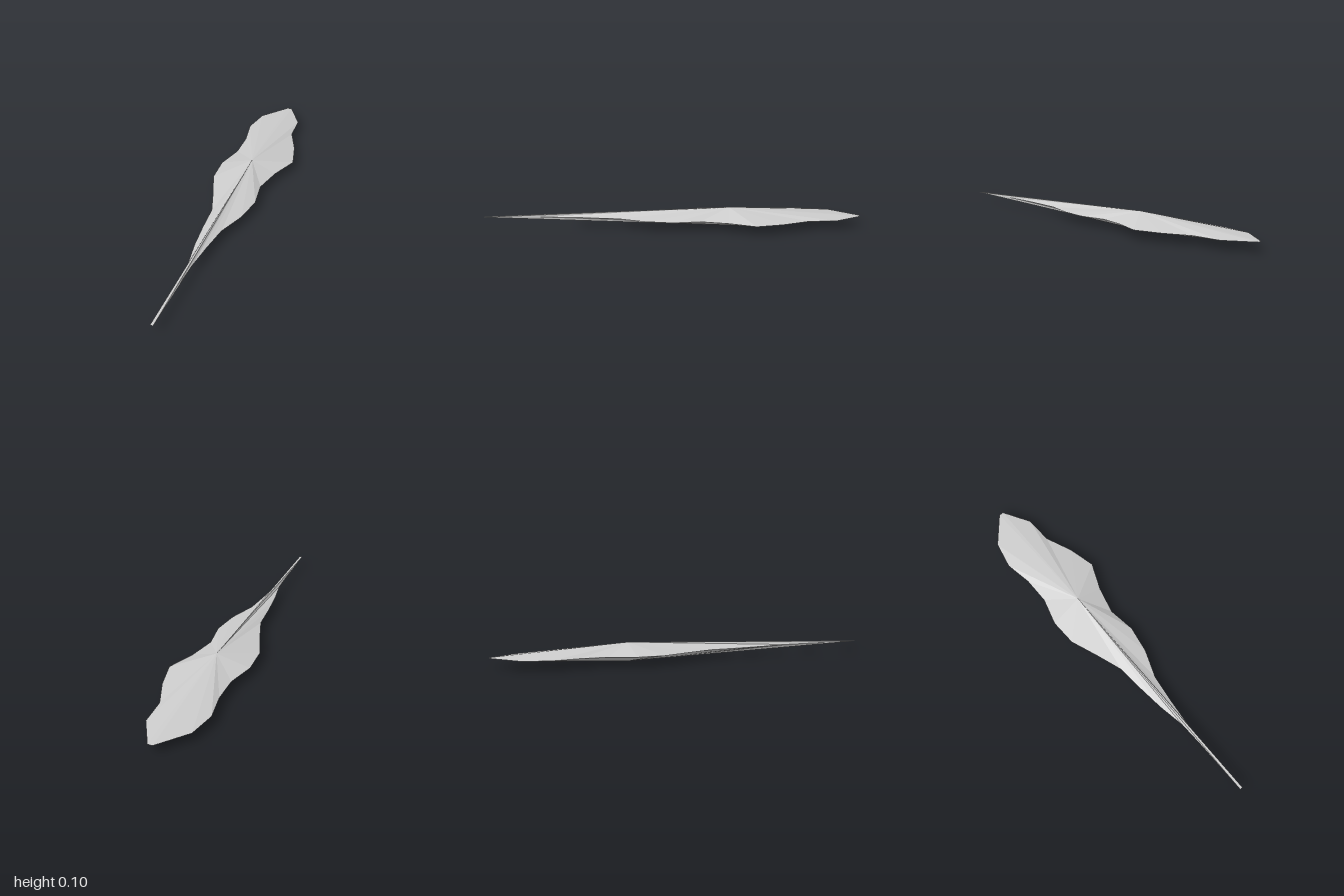
import * as THREE from 'three';

// Half-outlines of the blade, [x] per evenly spaced station from back (z = -1) to front (z = 1)
const RIGHT_EDGE = [-0.025, -0.145, -0.175, -0.15, -0.15, -0.19, -0.185, -0.13, -0.08, -0.07, -0.055, -0.03, -0.026, -0.025, -0.025];
const LEFT_EDGE = [0, 0.085, 0.09, 0.15, 0.185, 0.125, 0.09, 0.11, 0.085, 0.03, 0.01, -0.005, -0.01, -0.01, -0.01];
const EDGE_Y = 0.05;
const RIDGE_X = -0.015;
const PEAK_Z = -0.3;

// A fan of flat facets from the outline to one peak
function facetFan(outline, peak, upward) {
  const points = [];
  outline.forEach((a, i) => {
    const b = outline[(i + 1) % outline.length];
    points.push(...(upward ? [a, b, peak] : [b, a, peak]));
  });
  const geometry = new THREE.BufferGeometry().setFromPoints(points);
  geometry.computeVertexNormals();
  return geometry;
}

export function createModel() {
  const group = new THREE.Group();
  group.name = 'leafBlade';
  const stone = new THREE.MeshStandardMaterial({ color: 0xcccccc, flatShading: true });
  stone.name = 'pale grey';

  const toPoint = (x, i) => new THREE.Vector3(x, EDGE_Y, -1 + i / 7);
  const outline = [...RIGHT_EDGE.map(toPoint), ...LEFT_EDGE.map(toPoint).reverse()];

  // Upper and lower faces meet along the sharp outline
  for (const [name, y, upward] of [['upperFace', 0.1, true], ['lowerFace', 0, false]]) {
    const peak = new THREE.Vector3(RIDGE_X, y, PEAK_Z);
    const mesh = new THREE.Mesh(facetFan(outline, peak, upward), stone);
    mesh.name = name;
    group.add(mesh);
  }
  return group;
}
